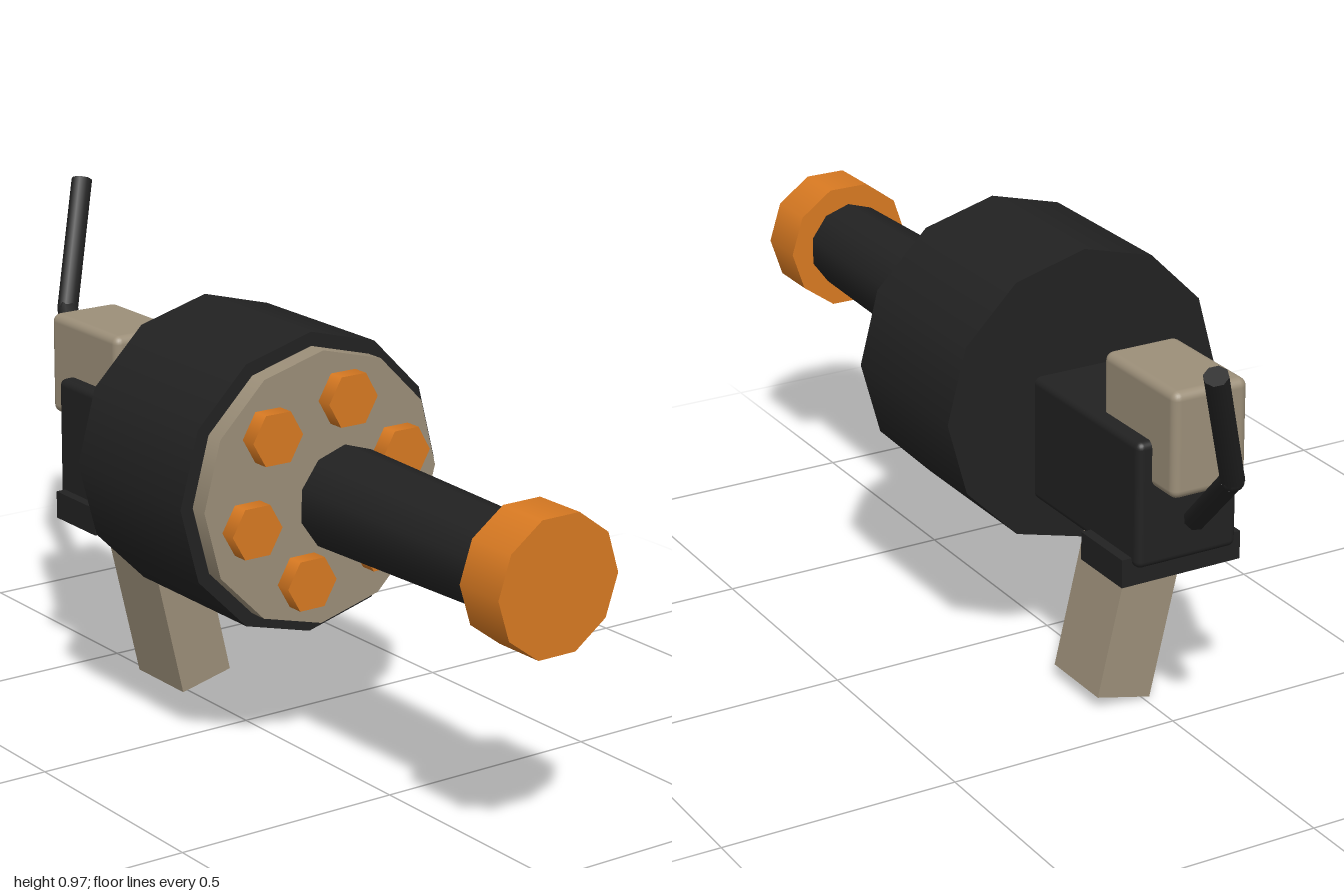
import * as THREE from 'three';
import { RoundedBoxGeometry } from 'three/addons/geometries/RoundedBoxGeometry.js';

const AXIS_Y = 0.585; // height of the drum and barrel axis

export function createModel() {
  const group = new THREE.Group();
  const mat = (name, color) => {
    const m = new THREE.MeshStandardMaterial({ color });
    m.name = name;
    return m;
  };
  const black = mat('black', 0x222222);
  const beige = mat('beige', 0x9c8f79);
  const orange = mat('orange', 0xd97a22);

  const add = (name, geometry, material, x, y, z) => {
    const mesh = new THREE.Mesh(geometry, material);
    mesh.name = name;
    mesh.position.set(x, y, z);
    group.add(mesh);
    return mesh;
  };

  // Cylinder along x from x0 (radius r0) to x1 (radius r1)
  const lathe = (name, material, x0, x1, r0, r1, sides, y = AXIS_Y, z = 0, turn = 0) => {
    const g = new THREE.CylinderGeometry(r1, r0, x1 - x0, sides);
    g.rotateY(turn).rotateZ(-Math.PI / 2);
    return add(name, g, material, (x0 + x1) / 2, y, z);
  };

  // Axis-aligned box between two corners, with optional rounding
  const box = (name, material, [x0, y0, z0], [x1, y1, z1], radius = 0) => {
    const size = [x1 - x0, y1 - y0, z1 - z0];
    const g = radius ? new RoundedBoxGeometry(...size, 3, radius) : new THREE.BoxGeometry(...size);
    return add(name, g, material, (x0 + x1) / 2, (y0 + y1) / 2, (z0 + z1) / 2);
  };

  // Drum with its face plate and ring of hexagonal caps
  lathe('drum', black, -0.148, 0.225, 0.315, 0.315, 12);
  lathe('facePlate', beige, 0.2, 0.266, 0.286, 0.286, 12);
  for (let i = 0; i < 6; i++) {
    const a = Math.PI / 4 + (i * Math.PI) / 3;
    lathe('chamberCap', orange, 0.24, 0.302, 0.06, 0.06, 6,
      AXIS_Y + 0.19 * Math.sin(a), 0.19 * Math.cos(a));
  }

  // Barrel and muzzle
  lathe('barrel', black, 0.34, 0.9, 0.11, 0.096, 10, AXIS_Y, 0, Math.PI / 2);
  lathe('muzzle', orange, 0.887, 1.0, 0.143, 0.143, 10);

  // Receiver, lower rail and rear block
  box('receiver', black, [-0.543, 0.38, -0.115], [-0.13, 0.647, 0.115], 0.015);
  box('lowerRail', black, [-0.522, 0.34, -0.137], [-0.368, 0.4, 0.137]);
  box('rearBlock', beige, [-0.62, 0.55, -0.084], [-0.358, 0.772, 0.084], 0.018);

  // Slanted grip
  const tilt = 0.234;
  const gripLength = 0.42;
  const grip = add('grip', new THREE.BoxGeometry(0.172, gripLength, 0.126), beige,
    -0.3, 0.017 + (gripLength / 2) * Math.cos(tilt), -0.046 + (gripLength / 2) * Math.sin(tilt));
  grip.rotation.x = tilt;

  // Bent stock rod
  const rod = [[-0.57, 0.477, 0], [-0.868, 0.7, -0.115], [-0.977, 0.965, -0.227]]
    .map((p) => new THREE.Vector3(...p));
  const up = new THREE.Vector3(0, 1, 0);
  for (let i = 0; i < 2; i++) {
    const dir = rod[i + 1].clone().sub(rod[i]);
    const mid = rod[i].clone().add(rod[i + 1]).multiplyScalar(0.5);
    const seg = add('stockRod', new THREE.CylinderGeometry(0.024, 0.024, dir.length(), 8), black,
      mid.x, mid.y, mid.z);
    seg.quaternion.setFromUnitVectors(up, dir.normalize());
  }
  add('stockJoint', new THREE.SphereGeometry(0.024, 10, 8), black, rod[1].x, rod[1].y, rod[1].z);

  return group;
}
